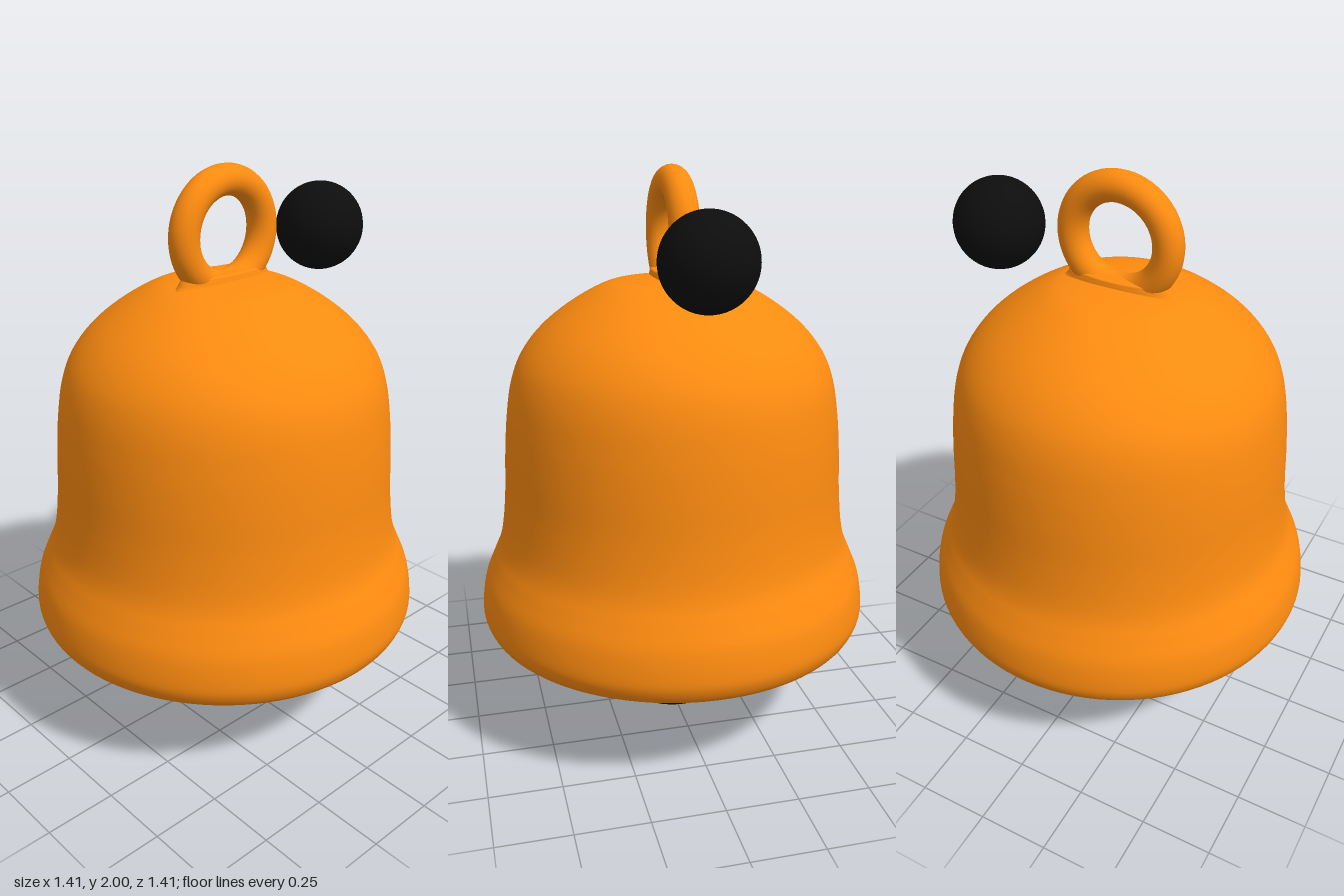
import * as THREE from 'three';

const ORANGE = new THREE.MeshStandardMaterial({ color: 0xff8c10 });
const BLACK = new THREE.MeshStandardMaterial({ color: 0x0d0d0d });

// Smooth curve through a few [radius, height] points
function smooth(points, steps) {
  const curve = new THREE.SplineCurve(points.map(([r, y]) => new THREE.Vector2(r, y)));
  return curve.getPoints(steps).map((p) => new THREE.Vector2(Math.max(p.x, 0), p.y));
}

export function createModel() {
  const model = new THREE.Group();

  function add(name, geometry, material, x = 0, y = 0) {
    const mesh = new THREE.Mesh(geometry, material);
    mesh.name = name;
    mesh.position.set(x, y, 0);
    model.add(mesh);
    return mesh;
  }

  // Bell shell: hollow inside, round the thick lip, up the outside to the crown
  const shell = smooth([
    [0, 1.53], [0.2, 1.51], [0.34, 1.44], [0.44, 1.34], [0.485, 1.2], [0.5, 1.0], [0.51, 0.75],
    [0.515, 0.55], [0.525, 0.45], [0.55, 0.385], [0.59, 0.353],
    [0.63, 0.35], [0.675, 0.367], [0.7, 0.41], [0.704, 0.46], [0.69, 0.545], [0.66, 0.62],
    [0.633, 0.685], [0.617, 0.76], [0.605, 0.88], [0.598, 1.02], [0.587, 1.15], [0.567, 1.27],
    [0.53, 1.365], [0.46, 1.455], [0.36, 1.535], [0.25, 1.597], [0.17, 1.618], [0.08, 1.628], [0, 1.63],
  ], 160);
  add('bellShell', new THREE.LatheGeometry(shell, 96), ORANGE);

  // Hanging loop with a flared foot blending into the crown
  add('hangingLoop', new THREE.TorusGeometry(0.174, 0.052, 24, 72), ORANGE, 0, 1.775);
  const foot = smooth([[0.23, 1.595], [0.2, 1.617], [0.185, 1.638], [0.17, 1.648], [0.1, 1.65], [0, 1.65]], 24);
  add('loopFoot', new THREE.LatheGeometry(foot, 48), ORANGE).scale.z = 0.36;

  // Clapper ball and the small loose ball beside the loop
  add('clapper', new THREE.SphereGeometry(0.338, 64, 40), BLACK, 0, 0.338);
  add('smallBall', new THREE.SphereGeometry(0.157, 48, 32), BLACK, 0.468, 1.735);

  return model;
}
